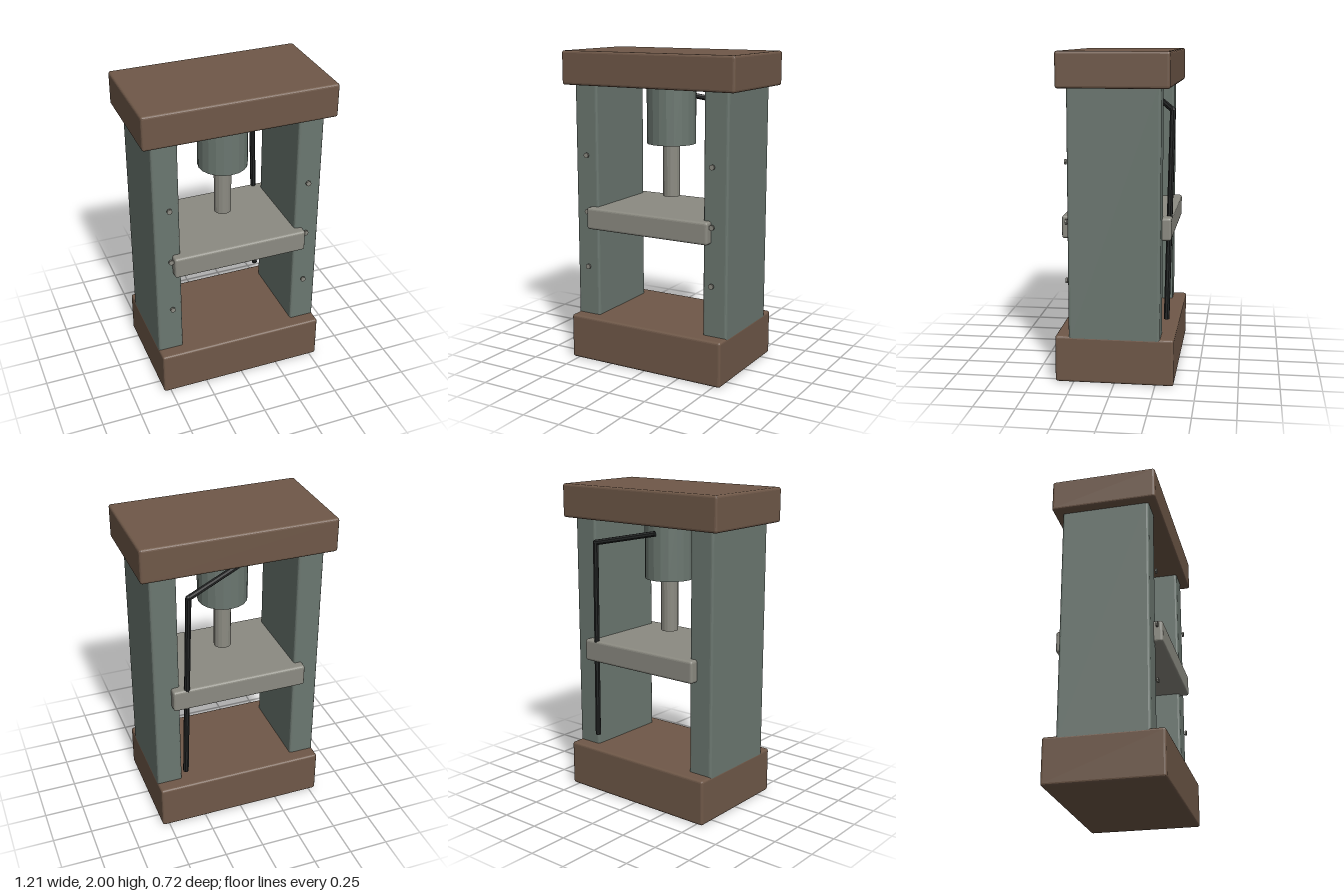
import * as THREE from 'three';
import { RoundedBoxGeometry } from 'three/addons/geometries/RoundedBoxGeometry.js';

const material = (color) => new THREE.MeshStandardMaterial({ color, flatShading: true });

export function createModel() {
  const model = new THREE.Group();
  model.name = 'hydraulicPress';
  const brown = material(0x6f5848);
  const green = material(0x6b7770);
  const steel = material(0x8c8b82);
  const black = material(0x222424);

  const add = (name, geometry, mat, x, y, z) => {
    const mesh = new THREE.Mesh(geometry, mat);
    mesh.name = name;
    mesh.position.set(x, y, z);
    model.add(mesh);
    return mesh;
  };
  // Bevelled block spanning y0..y1
  const block = (name, mat, w, y0, y1, d, x = 0) =>
    add(name, new RoundedBoxGeometry(w, y1 - y0, d, 2, 0.015), mat, x, (y0 + y1) / 2, 0);
  // Upright cylinder spanning y0..y1
  const cylinder = (name, mat, r, y0, y1, sides) =>
    add(name, new THREE.CylinderGeometry(r, r, y1 - y0, sides), mat, 0, (y0 + y1) / 2, 0);

  // Frame
  block('base', brown, 1.09, 0, 0.29, 0.724);
  block('topBeam', brown, 1.21, 1.787, 2, 0.666);
  block('pressPlate', steel, 0.87, 0.873, 1.013, 0.666);

  // Columns, each with a row of bolts on the front
  for (const [side, s] of [['left', 1], ['right', -1]]) {
    block(side + 'Column', green, 0.163, 0.265, 1.81, 0.556, s * 0.4625);
    for (const y of [0.615, 0.98, 1.345]) {
      const bolt = add(side + 'Bolt', new THREE.CylinderGeometry(0.017, 0.017, 0.012, 8), steel, s * 0.45, y, 0.302);
      bolt.rotation.x = Math.PI / 2;
    }
  }

  // Ram
  cylinder('ramCylinder', green, 0.157, 1.42, 1.81, 20);
  cylinder('piston', steel, 0.055, 1.08, 1.44, 16);

  // Hose leaving the back of the ram and hanging down behind the left column
  const hose = [
    new THREE.Vector3(-0.03, 1.72, -0.18),
    new THREE.Vector3(0.328, 1.65, -0.328),
    new THREE.Vector3(0.362, 0.37, -0.303),
  ];
  for (let i = 0; i < 2; i++) {
    const direction = hose[i + 1].clone().sub(hose[i]);
    const middle = hose[i].clone().lerp(hose[i + 1], 0.5);
    const mesh = add('hoseSection', new THREE.CylinderGeometry(0.018, 0.018, direction.length(), 8), black, ...middle.toArray());
    mesh.quaternion.setFromUnitVectors(new THREE.Vector3(0, 1, 0), direction.normalize());
  }
  add('hoseElbow', new THREE.SphereGeometry(0.018, 8, 6), black, ...hose[1].toArray());

  return model;
}
